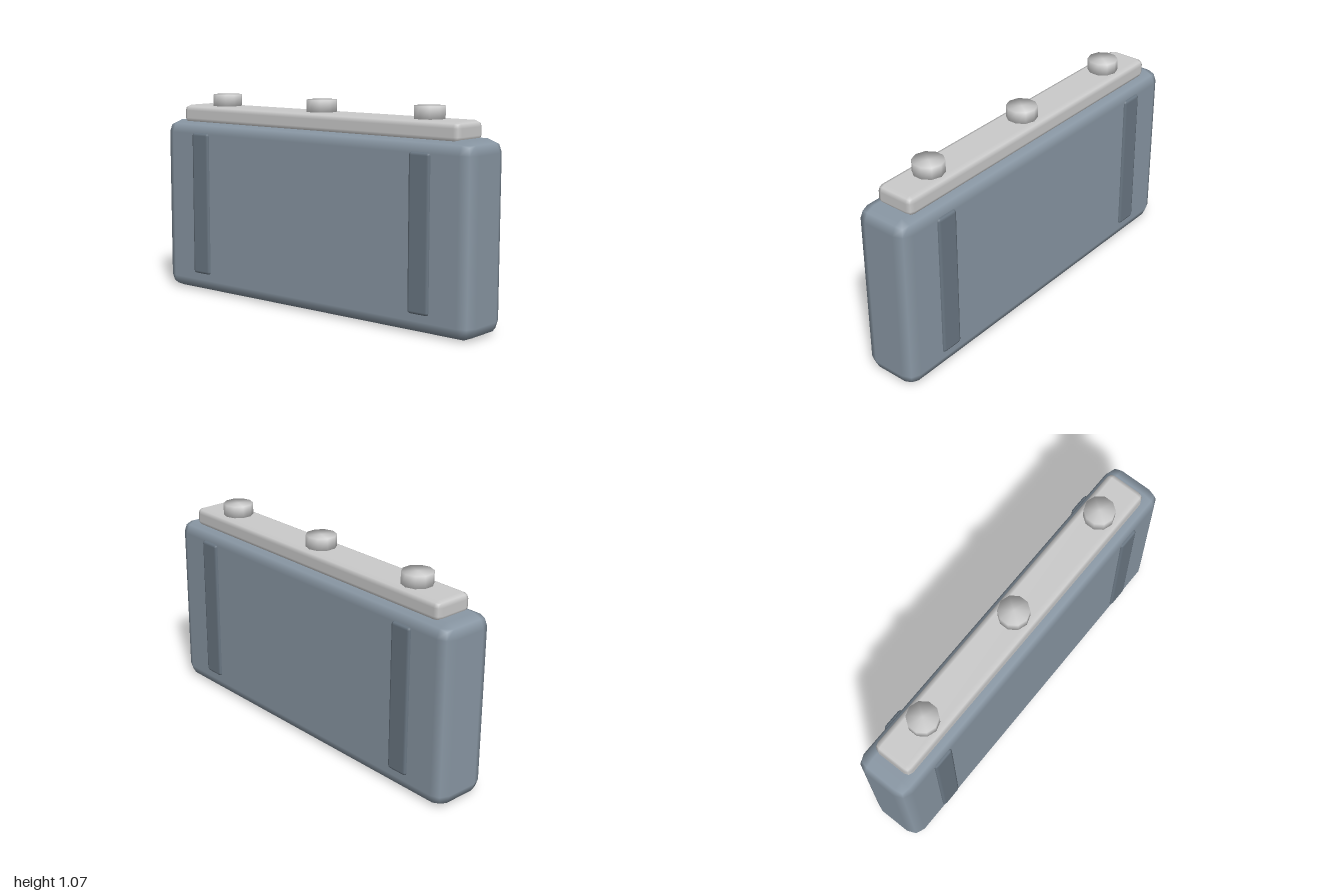
import * as THREE from 'three';
import { RoundedBoxGeometry } from 'three/addons/geometries/RoundedBoxGeometry.js';
import { mergeVertices } from 'three/addons/utils/BufferGeometryUtils.js';

export function createModel() {
  const model = new THREE.Group();
  const bodyMat = new THREE.MeshStandardMaterial({ color: 0x8a98a5 });
  const strapMat = new THREE.MeshStandardMaterial({ color: 0x6b7884 });
  const greyMat = new THREE.MeshStandardMaterial({ color: 0xcccccc });

  const add = (name, geometry, material, x, y) => {
    const mesh = new THREE.Mesh(geometry, material);
    mesh.name = name;
    mesh.position.set(x, y, 0);
    model.add(mesh);
  };
  // Box with a two-step bevel on every edge
  const bevelBox = (w, h, d, r) => new RoundedBoxGeometry(w, h, d, 1, r);

  // Main case and the lid strip on top of it
  add('body', bevelBox(2, 0.924, 0.3, 0.065), bodyMat, 0, 0.462);
  add('lid', bevelBox(1.8, 0.1, 0.21, 0.03), greyMat, 0, 0.956);

  // Straps run through the case and stand proud front and back
  for (const side of [-1, 1]) {
    add(side > 0 ? 'leftStrap' : 'rightStrap',
      bevelBox(0.122, 0.766, 0.325, 0.016), strapMat, side * 0.72, 0.482);
  }

  // Three low-poly caps, softly shaded across the rims
  let capGeometry = new THREE.CylinderGeometry(0.078, 0.078, 0.075, 10);
  capGeometry.deleteAttribute('normal');
  capGeometry.deleteAttribute('uv');
  capGeometry = mergeVertices(capGeometry);
  capGeometry.computeVertexNormals();
  ['rightCap', 'middleCap', 'leftCap'].forEach((name, i) =>
    add(name, capGeometry, greyMat, (i - 1) * 0.665, 1.029));

  return model;
}
